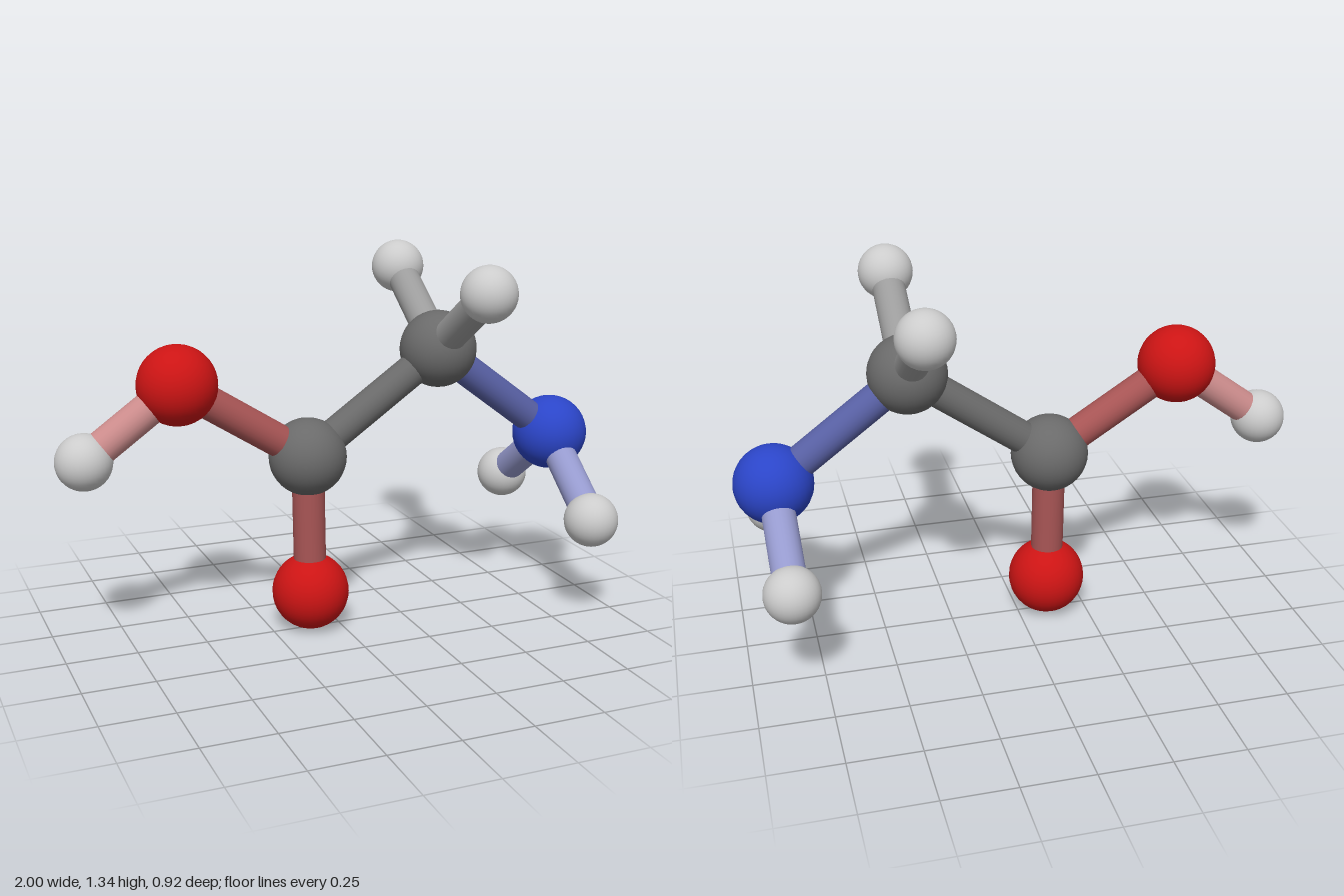
import * as THREE from 'three';

// Atom kinds: colour and radius
const KINDS = {
  carbon: { color: 0x6a6a6a, radius: 0.138 },
  oxygen: { color: 0xcc1414, radius: 0.138 },
  nitrogen: { color: 0x2b45c8, radius: 0.138 },
  hydrogen: { color: 0xcccccc, radius: 0.097 },
};

// Atoms: kind and centre
const ATOMS = {
  acidCarbon: ['carbon', -0.115, 0.64, -0.005],
  alphaCarbon: ['carbon', 0.386, 0.99, -0.003],
  hydroxylOxygen: ['oxygen', -0.579, 0.935, -0.008],
  carbonylOxygen: ['oxygen', -0.108, 0.138, -0.002],
  amineNitrogen: ['nitrogen', 0.86, 0.636, -0.006],
  hydroxylHydrogen: ['hydrogen', -0.903, 0.7, -0.014],
  frontAlphaHydrogen: ['hydrogen', 0.39, 1.238, 0.363],
  backAlphaHydrogen: ['hydrogen', 0.386, 1.242, -0.361],
  frontAmineHydrogen: ['hydrogen', 0.852, 0.386, 0.323],
  backAmineHydrogen: ['hydrogen', 0.848, 0.39, -0.34],
};

// Bonds: the two atoms joined and the rod colour
const BONDS = [
  ['acidCarbon', 'alphaCarbon', 0x6a6a6a],
  ['acidCarbon', 'hydroxylOxygen', 0xa85555],
  ['acidCarbon', 'carbonylOxygen', 0xa85555],
  ['alphaCarbon', 'amineNitrogen', 0x5860a4],
  ['hydroxylOxygen', 'hydroxylHydrogen', 0xcc8c8c],
  ['alphaCarbon', 'frontAlphaHydrogen', 0x9c9c9c],
  ['alphaCarbon', 'backAlphaHydrogen', 0x9c9c9c],
  ['amineNitrogen', 'frontAmineHydrogen', 0x969ace],
  ['amineNitrogen', 'backAmineHydrogen', 0x969ace],
];

const BOND_RADIUS = 0.058;
const UP = new THREE.Vector3(0, 1, 0);

const paint = (color) => new THREE.MeshStandardMaterial({ color });
const centre = (name) => new THREE.Vector3(...ATOMS[name].slice(1));

// Rod running between the centres of two atoms
function makeBond(from, to, color) {
  const a = centre(from);
  const b = centre(to);
  const rod = new THREE.Mesh(
    new THREE.CylinderGeometry(BOND_RADIUS, BOND_RADIUS, a.distanceTo(b), 24),
    paint(color)
  );
  rod.position.copy(a).lerp(b, 0.5);
  rod.quaternion.setFromUnitVectors(UP, b.sub(a).normalize());
  rod.name = `${from} to ${to} bond`;
  return rod;
}

export function createModel() {
  const model = new THREE.Group();
  model.name = 'ballAndStickMolecule';

  // Atom balls
  for (const [name, [kind]] of Object.entries(ATOMS)) {
    const { color, radius } = KINDS[kind];
    const ball = new THREE.Mesh(new THREE.SphereGeometry(radius, 32, 20), paint(color));
    ball.position.copy(centre(name));
    ball.name = name;
    model.add(ball);
  }

  // Bond rods
  for (const bond of BONDS) model.add(makeBond(...bond));

  return model;
}
